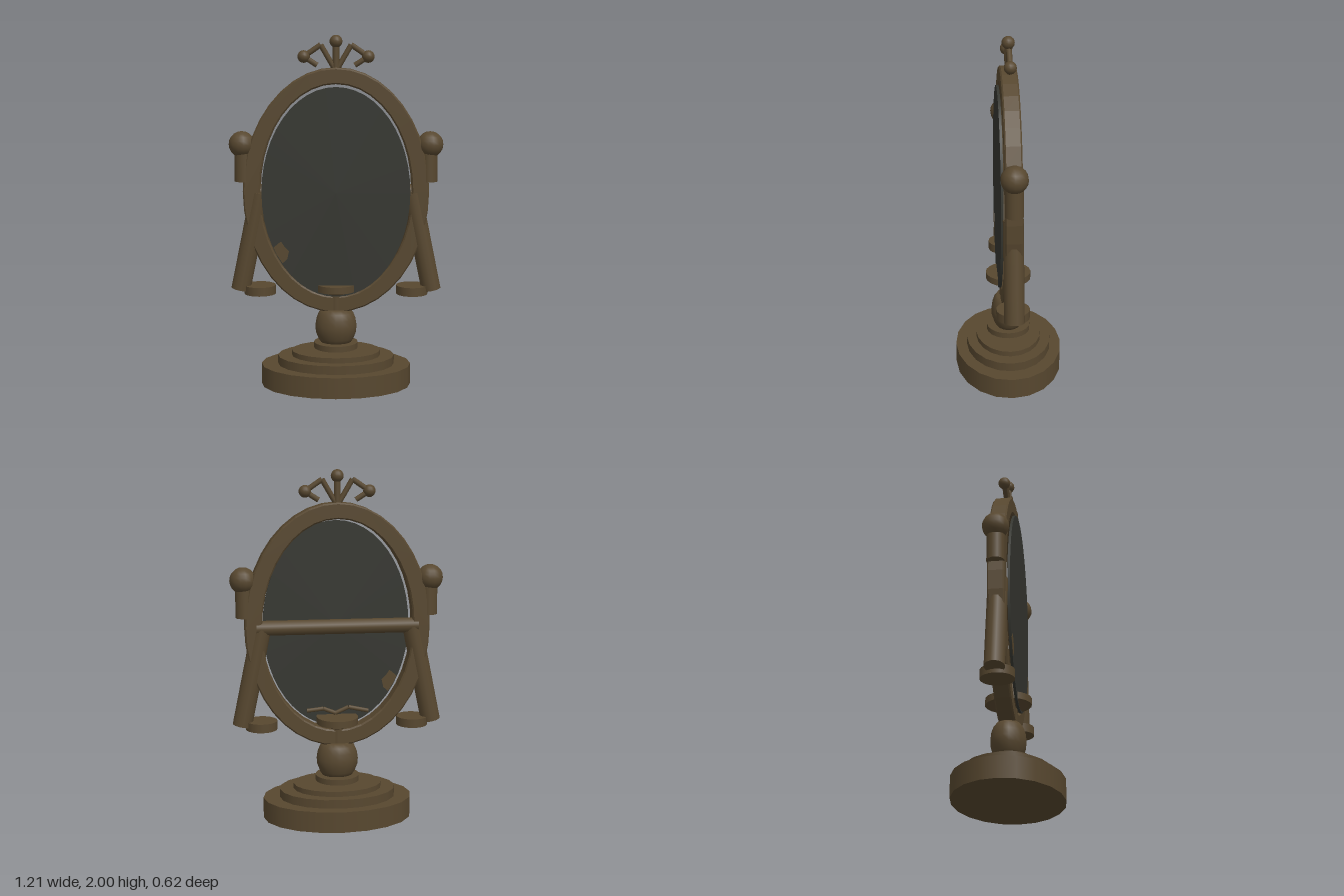
import * as THREE from 'three';

const bronze = new THREE.MeshStandardMaterial({ name: 'aged bronze', color: 0x57472f });
const glass = new THREE.MeshStandardMaterial({ name: 'dark glass', color: 0x353630 });

const CENTER_Y = 1.125;

export function createModel() {
  const model = new THREE.Group();
  model.name = 'tableMirror';

  const add = (name, geometry, x = 0, y = 0, z = 0, material = bronze) => {
    const mesh = new THREE.Mesh(geometry, material);
    mesh.name = name;
    mesh.position.set(x, y, z);
    model.add(mesh);
    return mesh;
  };

  // Elliptical disc between two heights
  const disc = (name, rx, rz, y0, y1, x = 0) =>
    add(name, new THREE.CylinderGeometry(1, 1, y1 - y0, 20).scale(rx, 1, rz), x, (y0 + y1) / 2);

  // Round rod between two points
  const rod = (name, a, b, r, sides = 12) => {
    const from = new THREE.Vector3(...a), to = new THREE.Vector3(...b);
    const dir = to.clone().sub(from);
    const mid = from.clone().add(to).multiplyScalar(0.5);
    const mesh = add(name, new THREE.CylinderGeometry(r, r, dir.length(), sides), mid.x, mid.y, mid.z);
    mesh.quaternion.setFromUnitVectors(new THREE.Vector3(0, 1, 0), dir.normalize());
    return mesh;
  };
  const rods = (name, points, r) => {
    for (let i = 1; i < points.length; i++) rod(name, points[i - 1], points[i], r, 8);
  };
  const ball = (name, x, y, r) => add(name, new THREE.SphereGeometry(r, 14, 10), x, y, 0);

  // Stepped oval foot
  disc('base', 0.43, 0.31, 0, 0.12);
  disc('baseMiddleStep', 0.335, 0.247, 0.12, 0.17);
  disc('baseTopStep', 0.255, 0.19, 0.17, 0.2);

  // Pedestal: collar, bulb, stem and dish
  disc('pedestalNeck', 0.06, 0.06, 0.2, 0.216);
  disc('pedestalCollar', 0.126, 0.126, 0.215, 0.248);
  const bulb = [[0, 0.245], [0.085, 0.245], [0.102, 0.27], [0.117, 0.31], [0.12, 0.345],
    [0.114, 0.385], [0.1, 0.42], [0.08, 0.442], [0, 0.445]].map(p => new THREE.Vector2(...p));
  add('pedestalBulb', new THREE.LatheGeometry(bulb, 18).scale(1, 1, 0.83));
  disc('stem', 0.045, 0.05, 0.44, 0.55);
  add('dishUnderside', new THREE.CylinderGeometry(0.115, 0.06, 0.025, 20), 0, 0.543);
  disc('dish', 0.12, 0.13, 0.553, 0.592);

  // Oval frame with softened edges
  const bevel = 0.008;
  const oval = new THREE.Shape();
  oval.absellipse(0, 0, 0.525 - bevel, 0.695 - bevel, 0, Math.PI * 2);
  const hole = new THREE.Path();
  hole.absellipse(0, 0, 0.428 + bevel, 0.604 + bevel, 0, Math.PI * 2, true);
  oval.holes.push(hole);
  add('frame', new THREE.ExtrudeGeometry(oval, {
    depth: 0.094 - 2 * bevel, bevelEnabled: true, bevelThickness: bevel,
    bevelSize: bevel, bevelSegments: 1, curveSegments: 20,
  }), 0, CENTER_Y, -0.047 + bevel);

  // Oval glass plate at the front of the frame
  add('mirrorGlass', new THREE.CylinderGeometry(1, 1, 0.014, 48)
    .rotateX(Math.PI / 2).scale(0.418, 0.594, 1), 0, 1.12, 0.057, glass);

  // Worn patch near the lower right of the glass, on both faces
  const patch = new THREE.Shape([[-0.352, 0.81], [-0.335, 0.77], [-0.302, 0.72], [-0.275, 0.745],
    [-0.265, 0.79], [-0.29, 0.815], [-0.31, 0.845], [-0.33, 0.83]].map(p => new THREE.Vector2(...p)));
  add('wornPatch', new THREE.ExtrudeGeometry(patch, { depth: 0.018, bevelEnabled: false }), 0, 0, 0.048);

  // Bar behind the glass
  rod('crossbar', [-0.46, 1.12, -0.014], [0.46, 1.12, -0.014], 0.042, 14);

  for (const s of [-1, 1]) {
    // Leaning arm with its foot disc
    rod('arm', [s * 0.545, 0.557, 0], [s * 0.43, 1.115, 0], 0.056, 14);
    disc('armDisc', 0.09, 0.093, 0.532, 0.582, s * 0.435);

    // Post with knob beside the frame
    disc('knobPost', 0.05, 0.05, 1.18, 1.36, s * 0.523);
    ball('knob', s * 0.53, 1.39, 0.0745);

    // Crest side branch
    rods('crestBranch', [[s * 0.012, 1.82, 0], [s * 0.085, 1.945, 0], [s * 0.18, 1.88, 0],
      [s * 0.105, 1.832, 0]], 0.015);
    ball('crestBall', s * 0.18, 1.88, 0.035);
  }

  // Crest centre
  rod('crestPost', [0, 1.8, 0], [0, 1.95, 0], 0.019);
  ball('crestTopBall', 0, 1.964, 0.036);

  // Zigzag wire behind the glass above the dish
  rods('lowerZigzag', [[0.175, 0.63, 0], [0.08, 0.64, 0], [0.01, 0.612, 0],
    [-0.065, 0.645, 0], [-0.18, 0.62, 0]], 0.012);

  return model;
}
